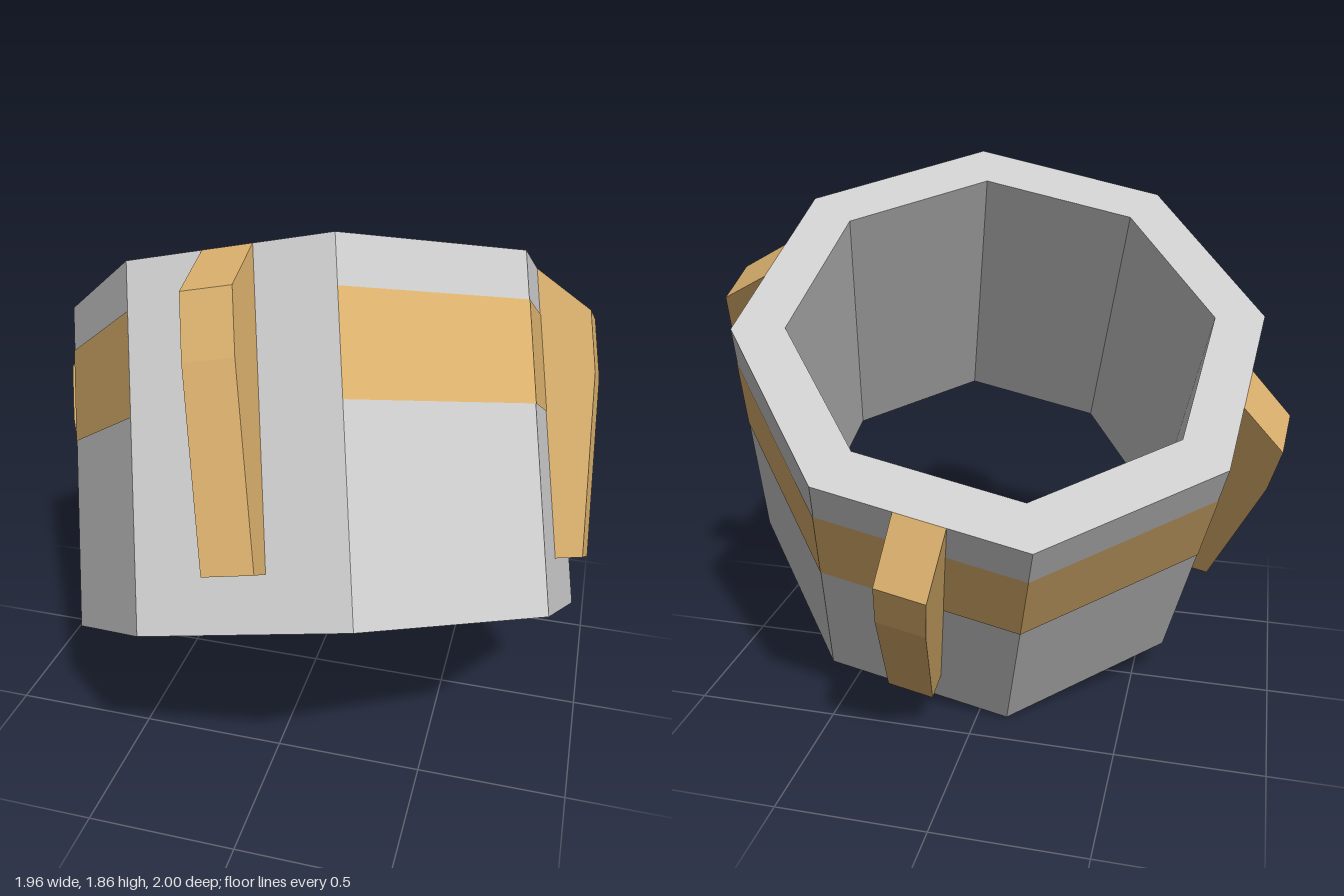
import * as THREE from 'three';

const APOTHEM = 0.795, RADIUS = 0.86, INNER = 0.692, HEIGHT = 1.114;

// Octagon with flat sides facing the axes
function octagon(path, r) {
  for (let i = 0; i < 8; i++) {
    const a = Math.PI / 8 + (i * Math.PI) / 4;
    path[i ? 'lineTo' : 'moveTo'](r * Math.cos(a), r * Math.sin(a));
  }
  path.closePath();
  return path;
}

export function createModel() {
  const model = new THREE.Group();
  const grey = new THREE.MeshStandardMaterial({ color: 0xcccccc, flatShading: true });
  const gold = new THREE.MeshStandardMaterial({ color: 0xddb26e, flatShading: true });

  const add = (name, geometry, material) => {
    const mesh = new THREE.Mesh(geometry, material);
    mesh.name = name;
    model.add(mesh);
    return mesh;
  };

  // Open eight-sided ring
  const wall = octagon(new THREE.Shape(), RADIUS);
  wall.holes.push(octagon(new THREE.Path(), INNER));
  const ring = new THREE.ExtrudeGeometry(wall, { depth: HEIGHT, bevelEnabled: false });
  ring.translate(0, 0, -HEIGHT / 2).rotateX(-Math.PI / 2);
  add('ring', ring, grey);

  // Painted band on every face but the front one
  const band = new THREE.CylinderGeometry(RADIUS + 0.002, RADIUS + 0.002, 0.32, 7, 1, true,
    Math.PI / 8, (7 * Math.PI) / 4);
  add('band', band, gold).position.y = 0.243;

  // Four tapered fins; profile is (distance from axis, height)
  const profile = [
    [0.75, -0.39], [0.88, -0.39], [0.957, 0.2], [0.957, 0.4],
    [APOTHEM, HEIGHT / 2], [0.75, HEIGHT / 2 - 0.001],
  ].map(([x, y]) => new THREE.Vector2(x, y));
  const fin = new THREE.ExtrudeGeometry(new THREE.Shape(profile), { depth: 0.16, bevelEnabled: false });
  fin.translate(0, 0, -0.08);
  ['leftFin', 'backFin', 'rightFin', 'frontFin'].forEach((name, i) => {
    add(name, fin, gold).rotation.y = (i * Math.PI) / 2;
  });

  // The whole piece leans back and to one side
  model.rotation.set(-Math.PI / 6, 0, THREE.MathUtils.degToRad(12), 'ZYX');
  model.position.set(0.035, 0.93, 0.033);

  const root = new THREE.Group();
  root.name = 'finnedRing';
  root.add(model);
  return root;
}
